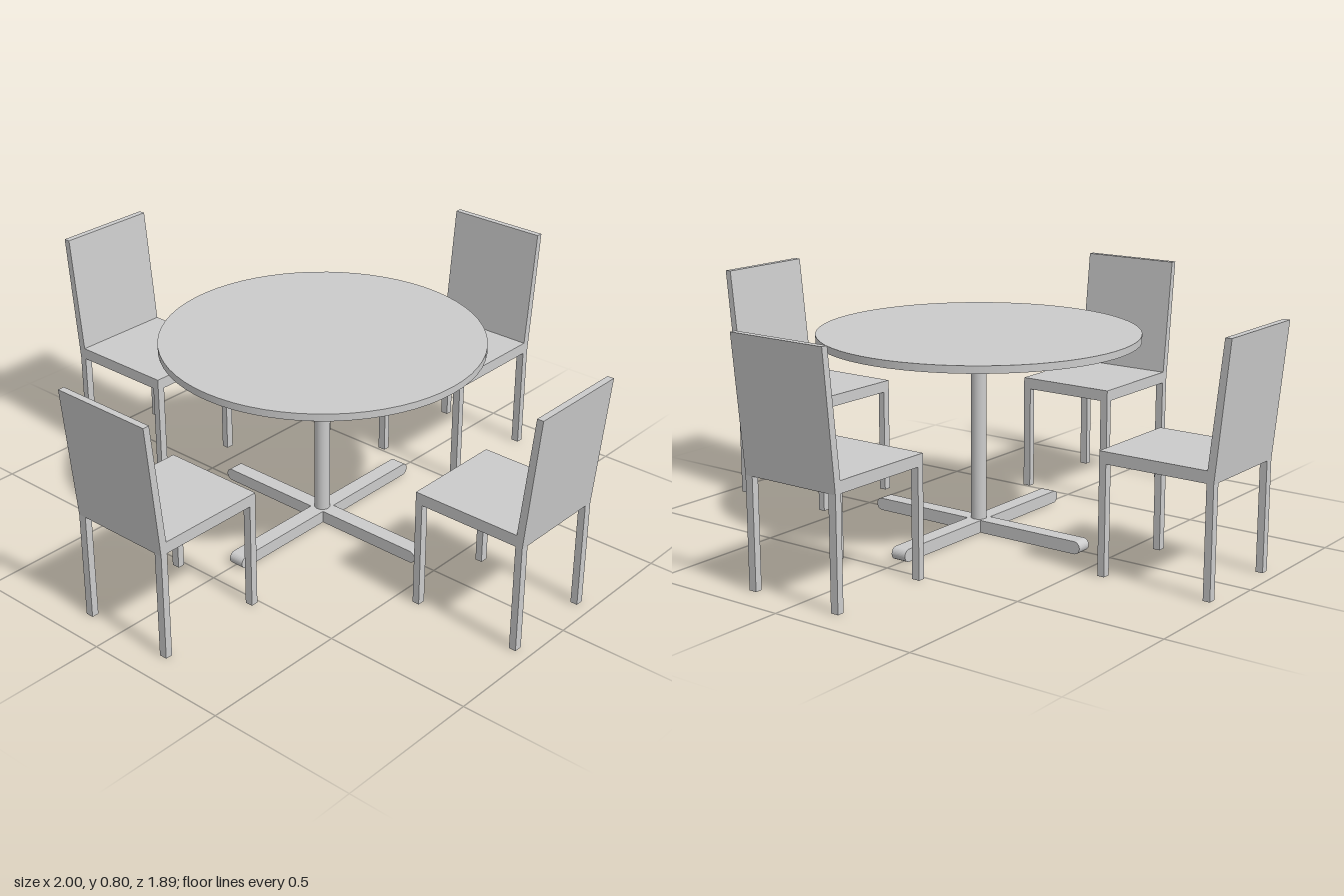
import * as THREE from 'three';

const material = new THREE.MeshStandardMaterial({ color: 0xcccccc });

function addMesh(parent, name, geometry, x = 0, y = 0, z = 0) {
  const mesh = new THREE.Mesh(geometry, material);
  mesh.name = name;
  mesh.position.set(x, y, z);
  parent.add(mesh);
  return mesh;
}

// Extrudes a side profile (x, y) to a width centred on z = 0
function extrudeCentred(shape, width) {
  const geometry = new THREE.ExtrudeGeometry(shape, { depth: width, bevelEnabled: false, curveSegments: 8 });
  return geometry.translate(0, 0, -width / 2);
}

function polygon(points) {
  return new THREE.Shape(points.map(([x, y]) => new THREE.Vector2(x, y)));
}

// Chair: seat front edge at x = 0, backrest towards +x
function createChair(name) {
  const chair = new THREE.Group();
  chair.name = name;
  const width = 0.353, depth = 0.394, under = 0.359, seatTop = 0.398, top = 0.795;
  const legX = 0.024, legZ = 0.027;

  // Seat and leaning backrest share one side profile
  const profile = polygon([
    [0, under], [depth, under], [0.437, top], [0.415, top], [0.372, seatTop], [0, seatTop],
  ]);
  addMesh(chair, 'seatAndBackrest', extrudeCentred(profile, width));

  for (const x of [legX / 2, depth - legX / 2]) {
    for (const side of [-1, 1]) {
      addMesh(chair, x < 0.1 ? 'frontLeg' : 'backLeg', new THREE.BoxGeometry(legX, under, legZ),
        x, under / 2, side * (width - legZ) / 2);
    }
  }
  return chair;
}

function createTable() {
  const table = new THREE.Group();
  table.name = 'table';

  // Round top and central column
  addMesh(table, 'tableTop', new THREE.CylinderGeometry(0.528, 0.528, 0.024, 64), 0, 0.66, 0);
  addMesh(table, 'column', new THREE.CylinderGeometry(0.026, 0.026, 0.62, 24), 0, 0.335, 0);

  // Floor bar with rounded ends
  const r = 0.021, reach = 0.42;
  const bar = new THREE.Shape();
  bar.moveTo(-reach + r, 0);
  bar.lineTo(reach - r, 0);
  bar.absarc(reach - r, r, r, -Math.PI / 2, Math.PI / 2, false);
  bar.lineTo(-reach + r, 2 * r);
  bar.absarc(-reach + r, r, r, Math.PI / 2, Math.PI * 1.5, false);

  // Support arm under the top, tapered at both ends
  const arm = polygon([[-0.335, 0.634], [0.335, 0.634], [0.37, 0.649], [-0.37, 0.649]]);

  for (const angle of [0, Math.PI / 2]) {
    addMesh(table, 'baseBar', extrudeCentred(bar, 0.054)).rotation.y = angle;
    addMesh(table, 'supportArm', extrudeCentred(arm, 0.03)).rotation.y = angle;
  }
  return table;
}

export function createModel() {
  const model = new THREE.Group();
  model.name = 'diningSet';

  const table = createTable();
  table.position.set(0.01, 0, -0.013);
  model.add(table);

  // Four chairs around the table: name, seat-edge position, turn
  const placements = [
    ['leftChair', 0.56, 0.007, 0],
    ['backChair', 0.022, -0.509, Math.PI / 2],
    ['rightChair', -0.563, 0.007, Math.PI],
    ['frontChair', 0.024, 0.509, -Math.PI / 2],
  ];
  for (const [name, x, z, turn] of placements) {
    const chair = createChair(name);
    chair.position.set(x, 0, z);
    chair.rotation.y = turn;
    model.add(chair);
  }
  return model;
}
